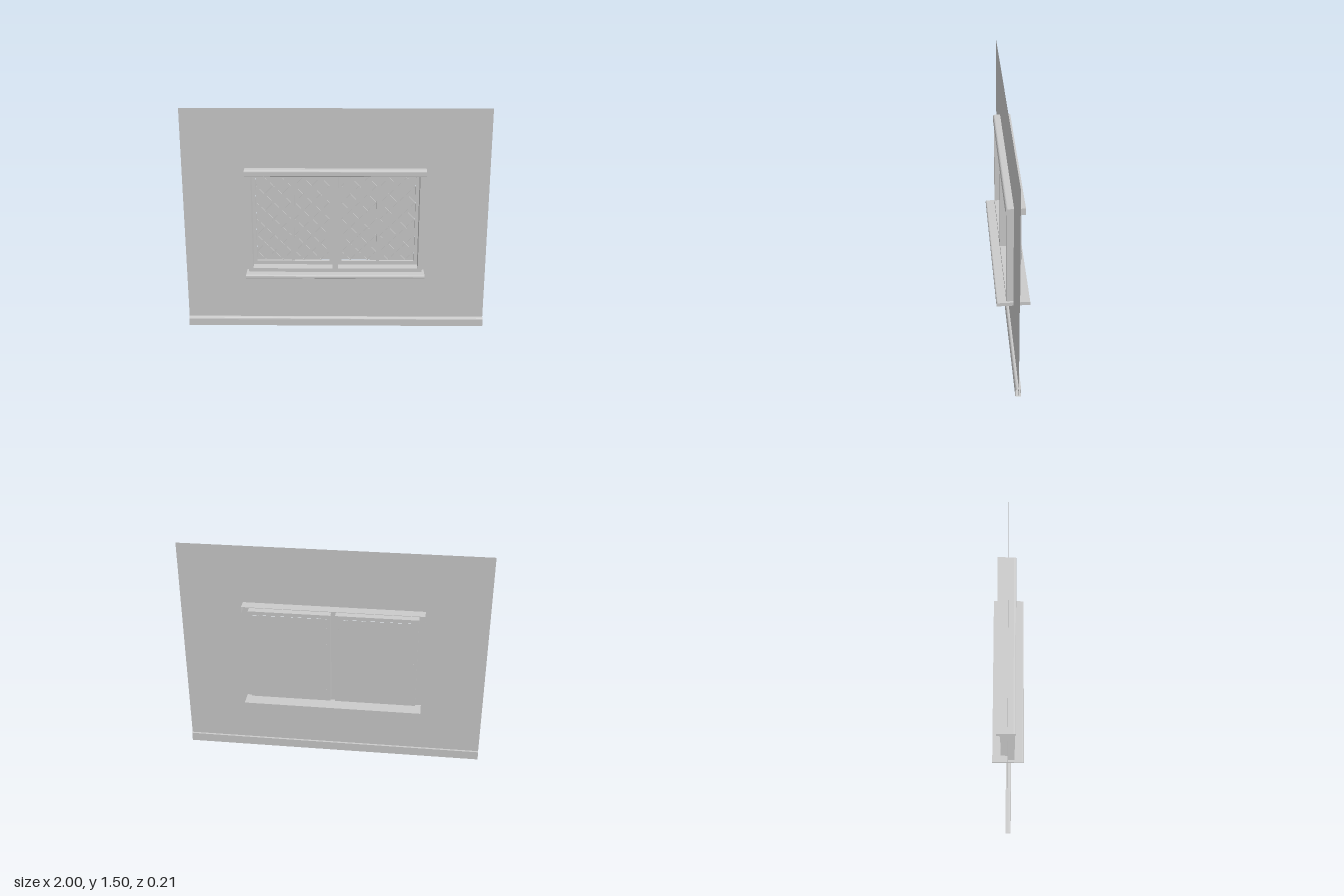
import * as THREE from 'three';

const mat = new THREE.MeshStandardMaterial({ color: 0xcccccc, side: THREE.DoubleSide });
const CX = -0.002;                       // window centre
const BOTTOM = 0.43, TOP = 1.067;        // sash outer height
const SASHES = [[-0.55, -0.02], [0.016, 0.546]];
const RAIL = 0.022, GLASS_Z = -0.051;

function add(parent, name, geometry) {
  const m = new THREE.Mesh(geometry, mat);
  m.name = name;
  parent.add(m);
  return m;
}

// Box given by its limits
function block(parent, name, x0, x1, y0, y1, z0, z1) {
  const m = add(parent, name, new THREE.BoxGeometry(x1 - x0, y1 - y0, z1 - z0));
  m.position.set((x0 + x1) / 2, (y0 + y1) / 2, (z0 + z1) / 2);
  return m;
}

function rectPath(x0, x1, y0, y1, Type = THREE.Shape) {
  return new Type([[x0, y0], [x1, y0], [x1, y1], [x0, y1]].map(p => new THREE.Vector2(...p)));
}

// Rectangular ring with one opening, extruded from z0 to z1
function ring(parent, name, [x0, x1, y0, y1], [a0, a1, b0, b1], z0, z1) {
  const s = rectPath(x0, x1, y0, y1);
  s.holes.push(rectPath(a0, a1, b0, b1, THREE.Path));
  const g = new THREE.ExtrudeGeometry(s, { depth: z1 - z0, bevelEnabled: false });
  g.translate(0, 0, z0);
  return add(parent, name, g);
}

// Open sheet: a (z, y) profile swept along x
function sweep(parent, name, points, x0, x1) {
  const pos = [], idx = [];
  for (let i = 0; i < points.length - 1; i++) {
    for (const [z, y] of [points[i], points[i + 1]]) pos.push(x0, y, z, x1, y, z);
    const k = i * 4;
    idx.push(k, k + 1, k + 2, k + 1, k + 3, k + 2);
  }
  const g = new THREE.BufferGeometry();
  g.setAttribute('position', new THREE.Float32BufferAttribute(pos, 3));
  g.setIndex(idx);
  g.computeVertexNormals();
  return add(parent, name, g);
}

// Quarter-round points in (z, y), from angle a0 to a1
function arc(z, y, r, a0, a1, n = 5) {
  return Array.from({ length: n + 1 }, (_, i) => {
    const a = a0 + (a1 - a0) * i / n;
    return [z + r * Math.cos(a), y + r * Math.sin(a)];
  });
}

// Flat end cover from a (z, y) outline
function endCap(parent, name, points, x) {
  const s = new THREE.Shape(points.map(([z, y]) => new THREE.Vector2(-z, y)));
  const g = new THREE.ShapeGeometry(s);
  g.rotateY(Math.PI / 2);
  g.translate(x, 0, 0);
  return add(parent, name, g);
}

// Diagonal leading clipped to a pane
function lattice(parent, x0, x1, y0, y1) {
  const pitch = 0.115, w = x1 - x0, h = y1 - y0;
  for (const dir of [1, -1]) {
    for (let c = -Math.ceil(h / pitch) * pitch + pitch / 2; c < w; c += pitch) {
      const t0 = Math.max(0, -c), t1 = Math.min(h, w - c);
      if (t1 - t0 < 0.01) continue;
      const mid = (t0 + t1) / 2;
      const bar = add(parent, 'latticeBar',
        new THREE.BoxGeometry((t1 - t0) * Math.SQRT2, 0.006, 0.005));
      bar.position.set(dir > 0 ? x0 + c + mid : x1 - c - mid, y0 + mid, GLASS_Z + 0.003);
      bar.rotation.z = dir * Math.PI / 4;
    }
  }
}

function createSash([x0, x1]) {
  const sash = new THREE.Group();
  sash.name = 'sash';
  const inner = [x0 + RAIL, x1 - RAIL, BOTTOM + RAIL + 0.003, TOP - RAIL];
  const outer = [x0, x1, BOTTOM, TOP];
  const t = 0.003;
  // Thin lining through the wall, then the sash frame set back inside it
  ring(sash, 'lining', [x0 - t, x1 + t, BOTTOM - t, TOP + t], outer, -0.048, 0.04);
  ring(sash, 'sashFrame', outer, inner, GLASS_Z + 0.003, -0.028);
  const [a0, a1, b0, b1] = inner, mid = (a0 + a1) / 2;
  const glass = add(sash, 'glass', new THREE.PlaneGeometry(a1 - a0, b1 - b0));
  glass.position.set(mid, (b0 + b1) / 2, GLASS_Z);
  block(sash, 'glazingBar', mid - 0.011, mid + 0.011, b0, b1, GLASS_Z + 0.001, -0.03);
  lattice(sash, a0, mid - 0.011, b0, b1);
  lattice(sash, mid + 0.011, a1, b0, b1);
  return sash;
}

export function createModel() {
  const model = new THREE.Group();
  model.name = 'windowWall';

  // Wall sheet with two openings
  const wall = rectPath(-1, 1, 0, 1.505);
  for (const [x0, x1] of SASHES) wall.holes.push(rectPath(x0, x1, BOTTOM, TOP, THREE.Path));
  add(model, 'wall', new THREE.ShapeGeometry(wall));

  // Skirting board
  sweep(model, 'skirting', [[-0.014, 0], [-0.014, 0.06], [0.006, 0.06],
    ...arc(0.006, 0.044, 0.016, Math.PI / 2, 0), [0.022, 0], [-0.014, 0]], -1, 1);

  const win = new THREE.Group();
  win.name = 'window';
  model.add(win);

  // Front casing: sides, bottom rail and centre post
  const casing = rectPath(CX - 0.575, CX + 0.575, 0.403, 1.075);
  for (const [x0, x1] of SASHES) casing.holes.push(rectPath(x0, x1, BOTTOM, TOP, THREE.Path));
  add(win, 'casing', new THREE.ExtrudeGeometry(casing, { depth: 0.045, bevelEnabled: false }));

  for (const s of SASHES) win.add(createSash(s));

  // Head: hollow cover with a rounded front, open behind the wall
  const hx0 = CX - 0.589, hx1 = CX + 0.589, q = Math.PI / 2;
  const head = [[-0.07, 1.11], ...arc(0.035, 1.095, 0.015, q, 0),
    ...arc(0.043, 1.072, 0.007, 0, -q, 3), [0, 1.065]];
  sweep(win, 'head', head, hx0, hx1);
  for (const x of [hx0, hx1]) endCap(win, 'headEnd', [...head, [-0.07, 1.065]], x);

  // Sill with rounded front edge
  const sill = [[-0.105, 0.38], [-0.105, 0.405], ...arc(0.098, 0.395, 0.01, q, 0, 4),
    ...arc(0.103, 0.385, 0.005, 0, -q, 3), [-0.105, 0.38]];
  sweep(win, 'sill', sill, CX - 0.59, CX + 0.59);
  for (const x of [CX - 0.59, CX + 0.59]) endCap(win, 'sillEnd', sill.slice(0, -1), x);

  return model;
}
